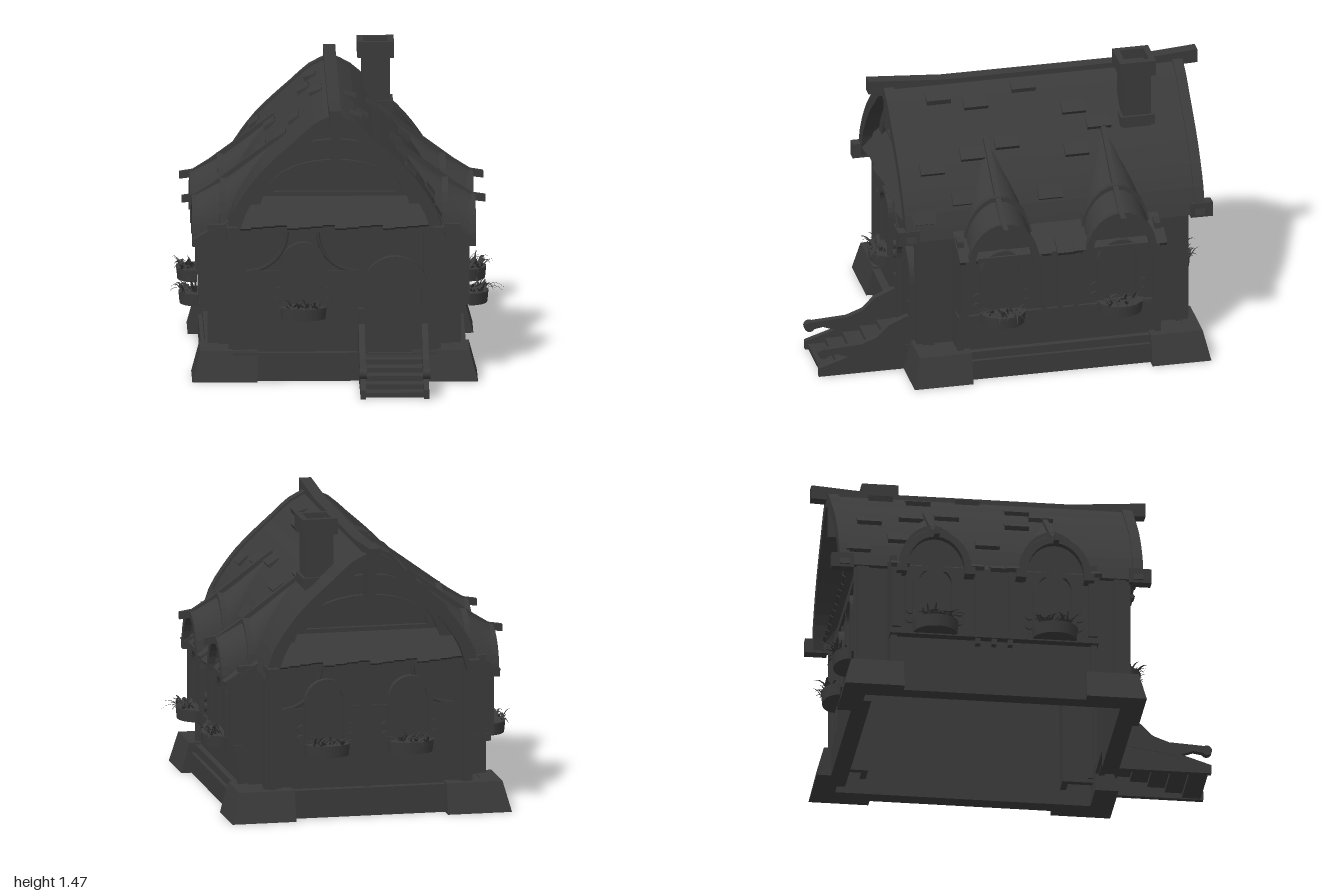
import * as THREE from 'three';
import { mergeGeometries } from 'three/addons/utils/BufferGeometryUtils.js';

const mat = new THREE.MeshStandardMaterial({ color: 0x3a3a3a, side: THREE.DoubleSide });

function add(parent, name, geo, x = 0, y = 0, z = 0) {
  const m = new THREE.Mesh(geo, mat);
  m.name = name;
  m.position.set(x, y, z);
  parent.add(m);
  return m;
}
// Box given by its min and max corners
const box = (p, name, x0, x1, y0, y1, z0, z1) =>
  add(p, name, new THREE.BoxGeometry(x1 - x0, y1 - y0, z1 - z0), (x0 + x1) / 2, (y0 + y1) / 2, (z0 + z1) / 2);
const poly = pts => new THREE.Shape(pts.map(p => new THREE.Vector2(p[0], p[1])));
const extrude = (shape, depth) => new THREE.ExtrudeGeometry(shape, { depth, bevelEnabled: false, curveSegments: 10 });
// Side profile drawn as (z, y), thickness w centred on x = 0
const sideExtrude = (pts, w) => extrude(poly(pts), w).translate(0, 0, -w / 2).rotateY(-Math.PI / 2);

// Points of a half ellipse from right to left
function arc(half, y, rise, n = 14) {
  return Array.from({ length: n + 1 }, (_, i) => {
    const a = Math.PI * i / n;
    return [half * Math.cos(a), y + rise * Math.sin(a)];
  });
}
// Round-topped opening, frame around one, and open arch band
const arch = (half, y0, spring, rise = half) => poly([[-half, y0], [half, y0], ...arc(half, spring, rise)]);
function archFrame(half, y0, spring, t, depth) {
  const s = arch(half, y0, spring);
  s.holes.push(arch(half - t, y0 + t * 0.6, spring));
  return extrude(s, depth);
}
const archBand = (half, y, rise, t, depth) =>
  extrude(poly([...arc(half, y, rise), ...arc(half - t, y, rise - t).reverse()]), depth);

let seed = 7;
const rnd = () => (seed = (seed * 16807) % 2147483647) / 2147483647;

// Spiky plants: drooping tapered blades fanning out of a window box
function plants(reach) {
  const blades = [];
  for (let i = 0; i < 40; i++) {
    const len = 0.04 + 0.065 * rnd(), lean = 0.5 + rnd() * 0.8;
    const g = new THREE.PlaneGeometry(0.016, 1, 1, 4).translate(0, 0.5, 0);
    const p = g.attributes.position;
    for (let j = 0; j < p.count; j++) {
      const t = p.getY(j);
      p.setXYZ(j, p.getX(j) * (1 - 0.9 * t), len * (t - 0.8 * lean * t * t), len * lean * t * 0.8);
    }
    g.rotateY((rnd() - 0.5) * 4);
    g.translate((rnd() - 0.5) * 0.15, 0.37, 0.04 + rnd() * reach * 0.75);
    blades.push(g);
  }
  const all = mergeGeometries(blades);
  all.computeVertexNormals();
  return all;
}

// Arched window with a flower box of the given reach, facing +z
function windowUnit(parent, x, z, reach) {
  const g = new THREE.Group();
  g.name = 'window';
  g.position.set(x, 0, z);
  parent.add(g);
  add(g, 'windowFrame', archFrame(0.11, 0.35, 0.58, 0.028, 0.035));
  add(g, 'windowPane', extrude(arch(0.085, 0.36, 0.58), 0.012));
  for (const s of [-1, 1]) for (const y of [0.39, 0.44])
    add(g, 'frameScroll', new THREE.CylinderGeometry(0.022, 0.022, 0.016, 10).rotateX(Math.PI / 2), s * 0.122, y, 0.008);
  add(g, 'flowerBox', new THREE.CylinderGeometry(0.115, 0.108, 0.06, 12, 1, false, -Math.PI / 2, Math.PI).scale(1, 1, reach / 0.115), 0, 0.34, 0.03);
  add(g, 'flowerBoxBack', new THREE.PlaneGeometry(0.22, 0.06), 0, 0.34, 0.03);
  add(g, 'plants', plants(reach));
}

// Main roof profile, right half, eave to ridge
const half = new THREE.CatmullRomCurve3([[0.53, 0.72], [0.49, 0.85], [0.43, 0.95], [0.36, 1.04], [0.28, 1.12],
  [0.19, 1.2], [0.1, 1.28], [0, 1.33]].map(p => new THREE.Vector3(p[0], p[1], 0))).getPoints(14).map(p => [p.x, p.y]);
const profile = [...half, ...half.slice(0, -1).reverse().map(p => [-p[0], p[1]])];
const scaled = k => profile.map(p => [p[0] * k, 0.72 + (p[1] - 0.72) * k]);
const roofBand = (outer, inner, depth) => extrude(poly([...scaled(outer), ...scaled(inner).reverse()]), depth);

// Gable end facing +z; the back wall is set a little deeper under the roof
function gableEnd(front) {
  const end = new THREE.Group();
  end.name = front ? 'frontEnd' : 'backEnd';
  add(end, 'roofRim', roofBand(1.02, 0.9, 0.05), 0, 0, 0.7);
  const g = new THREE.Group();
  g.name = 'gable';
  g.position.z = front ? 0 : -0.04;
  end.add(g);
  box(g, 'lowerWall', -0.5, 0.5, 0.08, 0.8, 0.645, 0.675);
  add(g, 'upperWall', extrude(poly(scaled(0.94)), 0.03), 0, 0, 0.605);
  for (const s of [-1, 1]) {
    box(end, 'rimFoot', s * 0.505 - 0.027, s * 0.505 + 0.027, 0.705, 0.78, 0.68, 0.79);
    box(g, 'cornerPost', s * 0.47 - 0.035, s * 0.47 + 0.035, 0.1, 0.78, 0.63, 0.69);
  }
  // Gable arch, lunette and king post
  add(g, 'gableArch', archBand(0.43, 0.82, 0.38, 0.06, 0.035), 0, 0, 0.635);
  const lun = arch(0.33, 0.92, 0.93, 0.165);
  lun.holes.push(arch(0.3, 0.935, 0.94, 0.13));
  add(g, 'lunetteFrame', extrude(lun, 0.025), 0, 0, 0.635);
  box(end, 'kingPost', -0.022, 0.022, 1.1, 1.32, 0.59, 0.74);
  // Sloping pent roof with a ragged lower edge
  const n = 16, edge = [[0.45, 0], [-0.45, 0]];
  for (let i = 0; i < n; i++) {
    const y = -0.175 + 0.006 * (i * 5 % 4);
    edge.push([-0.47 + 0.94 * i / n, y], [-0.47 + 0.94 * (i + 1) / n, y]);
  }
  add(g, 'pentRoof', extrude(poly(edge), 0.018).rotateX(-0.62), 0, 0.9, 0.63);
  // Timber framing
  const right = front ? 0.13 : 0.44;
  box(g, 'rail', -0.44, right, 0.52, 0.545, 0.67, 0.685);
  box(g, 'topRail', -0.44, 0.44, 0.74, 0.78, 0.67, 0.69);
  box(g, 'stud', front ? 0.115 : -0.02, front ? 0.14 : 0.02, 0.12, 0.76, 0.67, 0.69);
  for (const [x, a] of [[-0.435, 0], [right - 0.015, Math.PI / 2]]) {
    const brace = new THREE.TorusGeometry(0.2, 0.012, 4, 10, Math.PI / 2).rotateZ(-Math.PI / 2 - a);
    add(g, 'brace', brace, x, 0.74, 0.673);
  }
  for (const x of front ? [-0.155] : [-0.21, 0.21]) windowUnit(g, x, 0.675, 0.08);
  box(g, 'plinth', -0.5, front ? 0.13 : 0.5, 0, 0.14, 0.63, 0.715);
  if (front) box(g, 'plinthRight', 0.46, 0.5, 0, 0.14, 0.63, 0.715);
  return end;
}

// Long side facing +z: jettied bay with two dormers
function longSide() {
  const g = new THREE.Group();
  g.name = 'side';
  box(g, 'lowerWall', -0.5, 0.5, 0.08, 0.34, 0.57, 0.6);
  box(g, 'upperWall', -0.505, 0.505, 0.34, 0.68, 0.6, 0.63);
  box(g, 'plinth', -0.5, 0.5, 0, 0.1, 0.57, 0.65);
  box(g, 'plinthCap', -0.5, 0.5, 0.1, 0.14, 0.57, 0.63);
  box(g, 'jettyBeam', -0.515, 0.515, 0.31, 0.345, 0.57, 0.645);
  for (const s of [-1, 1]) {
    box(g, 'bayEnd', s * 0.495 - 0.015, s * 0.495 + 0.015, 0.08, 0.74, 0.47, 0.62);
    box(g, 'cornerWall', s * 0.585 - 0.09, s * 0.585 + 0.09, 0.08, 0.76, 0.47, 0.5);
    box(g, 'cornerLedge', s * 0.59 - 0.1, s * 0.59 + 0.1, 0.115, 0.145, 0.47, 0.6);
    box(g, 'cornerPost', s * 0.635 - 0.03, s * 0.635 + 0.03, 0.1, 0.75, 0.46, 0.52);
    box(g, 'bayPost', s * 0.485 - 0.022, s * 0.485 + 0.022, 0.34, 0.66, 0.6, 0.66);
  }
  for (const x of [-0.08, 0, 0.08]) {
    box(g, 'stud', x - 0.012, x + 0.012, 0.34, 0.66, 0.625, 0.645);
    box(g, 'bracket', x - 0.012, x + 0.012, 0.28, 0.32, 0.59, 0.635);
  }
  // Low roof over the bay, with raised shingles
  add(g, 'bayRoof', sideExtrude([[0.46, 0.79], [0.67, 0.665], [0.67, 0.64], [0.46, 0.75]], 1.03));
  [-0.47, -0.1, 0.02, 0.1, 0.48].forEach((x, i) => {
    add(g, 'bayShingle', new THREE.BoxGeometry(0.09, 0.02, 0.09).rotateX(0.54), x, 0.68 + 0.004 * (i % 2), 0.65);
  });
  for (const x of [-0.295, 0.295]) dormer(g, x);
  return g;
}

// Dormer sections: depth, half width, base, crown
const SECTIONS = [[0.27, 0.045, 1.02, 1.125], [0.36, 0.095, 0.86, 1.06], [0.45, 0.14, 0.75, 0.99],
  [0.54, 0.165, 0.67, 0.925], [0.63, 0.165, 0.65, 0.875], [0.69, 0.17, 0.64, 0.845]];
function dormer(parent, x) {
  const g = new THREE.Group();
  g.name = 'dormer';
  g.position.x = x;
  parent.add(g);
  const pos = [], idx = [], n = 14;
  SECTIONS.forEach(([d, w, b, c], s) => arc(w, b, c - b, n).forEach(([px, py], i) => {
    pos.push(px, py, d);
    if (s && i) {
      const k = s * (n + 1) + i, j = k - n - 1;
      idx.push(j - 1, k - 1, k, j - 1, k, j);
    }
  }));
  const geo = new THREE.BufferGeometry();
  geo.setAttribute('position', new THREE.Float32BufferAttribute(pos, 3));
  geo.setIndex(idx);
  geo.computeVertexNormals();
  add(g, 'dormerRoof', geo);
  add(g, 'dormerRim', archBand(0.178, 0.64, 0.212, 0.035, 0.035), 0, 0, 0.66);
  add(g, 'dormerRib', archBand(0.175, 0.67, 0.268, 0.03, 0.03), 0, 0, 0.53);
  add(g, 'dormerWall', extrude(arch(0.15, 0.35, 0.64, 0.19), 0.03), 0, 0, 0.605);
  add(g, 'dormerRidge', sideExtrude([[0.28, 1.14], [0.45, 1.015], [0.6, 0.905], [0.68, 0.855], [0.745, 0.845],
    [0.745, 0.81], [0.66, 0.82], [0.45, 0.96], [0.28, 1.08]], 0.026));
  for (const s of [-1, 1]) box(g, 'rimFoot', s * 0.168 - 0.025, s * 0.168 + 0.025, 0.625, 0.665, 0.6, 0.695);
  windowUnit(g, 0, 0.63, 0.1);
}

// Battered L-shaped corner stone for the +x +z corner, open in the middle
function cornerStone() {
  const shape = poly([[0.38, 0.745], [0.7, 0.745], [0.7, 0.45], [0.57, 0.45], [0.57, 0.63], [0.38, 0.63]]);
  const geo = extrude(shape, 0.15).rotateX(Math.PI / 2).translate(0, 0.15, 0);
  const p = geo.attributes.position;
  for (let i = 0; i < p.count; i++) {
    if (p.getY(i) < 0.1) continue;
    if (p.getX(i) > 0.6) p.setX(i, 0.66);
    if (p.getZ(i) > 0.7) p.setZ(i, 0.71);
  }
  geo.computeVertexNormals();
  return geo;
}

function stairs() {
  const g = new THREE.Group();
  g.name = 'stairs';
  for (let i = 0; i < 5; i++) {
    const z = 0.72 + i * 0.086, y = 0.125 - i * 0.024;
    box(g, 'step', 0.13, 0.44, y - 0.024, y, z, z + 0.092);
  }
  for (const x of [0.13, 0.44]) {
    add(g, 'stringer', sideExtrude([[0.7, 0], [1.17, 0], [1.17, 0.045], [1.0, 0.1], [0.72, 0.15], [0.7, 0.15]], 0.026), x);
    add(g, 'handrail', sideExtrude([[0.7, 0.29], [0.74, 0.28], [0.82, 0.245], [0.88, 0.185], [0.96, 0.155], [1.14, 0.145],
      [1.17, 0.12], [1.14, 0.105], [1.08, 0.115], [1.0, 0.085], [0.7, 0.13]], 0.03), x);
    add(g, 'railScroll', new THREE.CylinderGeometry(0.026, 0.026, 0.036, 12).rotateZ(Math.PI / 2), x, 0.122, 1.147);
    box(g, 'newel', x - 0.016, x + 0.016, 0.1, 0.36, 0.68, 0.72);
  }
  return g;
}

export function createModel() {
  const root = new THREE.Group();
  root.name = 'cottage';
  const house = new THREE.Group();
  house.name = 'house';
  house.position.z = -0.175;
  root.add(house);

  const back = gableEnd(false);
  back.rotation.y = Math.PI;
  house.add(gableEnd(true), back);
  for (const s of [1, -1]) {
    const side = longSide();
    side.rotation.y = s * Math.PI / 2;
    house.add(side);
    for (const t of [1, -1]) add(house, 'cornerStone', cornerStone()).scale.set(s, 1, t);
  }

  // Roof shell, ridge beam and loose shingles
  add(house, 'roof', roofBand(1, 0.94, 1.42), 0, 0, -0.71);
  add(house, 'ridgeBeam', sideExtrude([[-0.825, 1.37], [-0.45, 1.342], [0.45, 1.342], [0.825, 1.37],
    [0.825, 1.3], [0.45, 1.285], [-0.45, 1.285], [-0.825, 1.3]], 0.06));
  const tiles = [[0.32, 1.28], [0.14, 1.25], [-0.11, 1.29], [0.41, 1.03], [0.2, 1.07], [0.02, 1.1], [-0.32, 1.05],
    [-0.34, 1.2], [-0.45, 1.14], [0.48, 0.83], [0.27, 0.9], [-0.16, 0.89]];
  for (const s of [1, -1]) for (const [z, y] of tiles) {
    const i = half.findIndex(p => p[1] > y), a = half[i - 1], b = half[i];
    const x = a[0] + (b[0] - a[0]) * (y - a[1]) / (b[1] - a[1]);
    const pitch = Math.atan2(b[1] - a[1], b[0] - a[0]);
    const tile = add(house, 'shingle', new THREE.BoxGeometry(0.065, 0.028, 0.12), s * x, y, s * (z + 0.175));
    tile.rotation.z = s * (pitch - Math.PI + 0.2);
  }

  // Chimney with a hollow cap
  const sq = r => poly([[-r, -r], [r, -r], [r, r], [-r, r]]);
  const ring = (o, i, h) => { const s = sq(o); s.holes.push(sq(i)); return extrude(s, h).rotateX(-Math.PI / 2); };
  add(house, 'chimneyShaft', ring(0.07, 0.055, 0.4), 0.22, 1.0, -0.465);
  add(house, 'chimneyCollar', ring(0.085, 0.06, 0.05), 0.22, 1.125, -0.465);
  add(house, 'chimneyCap', ring(0.09, 0.06, 0.08), 0.22, 1.39, -0.465);
  box(house, 'chimneyFloor', 0.16, 0.28, 1.4, 1.42, -0.525, -0.405);

  // Door, hanging half-round board and steps
  add(house, 'doorFrame', archFrame(0.16, 0.12, 0.46, 0.03, 0.04), 0.295, 0, 0.675);
  add(house, 'door', extrude(arch(0.135, 0.12, 0.46), 0.015), 0.295, 0, 0.675);
  box(house, 'doorSill', 0.13, 0.46, 0.09, 0.13, 0.63, 0.74);
  add(house, 'hangingBoard', new THREE.CylinderGeometry(0.105, 0.105, 0.02, 18, 1, false, -Math.PI / 2, Math.PI)
    .rotateX(Math.PI / 2), 0.285, 0.76, 0.705);
  house.add(stairs());
  return root;
}
